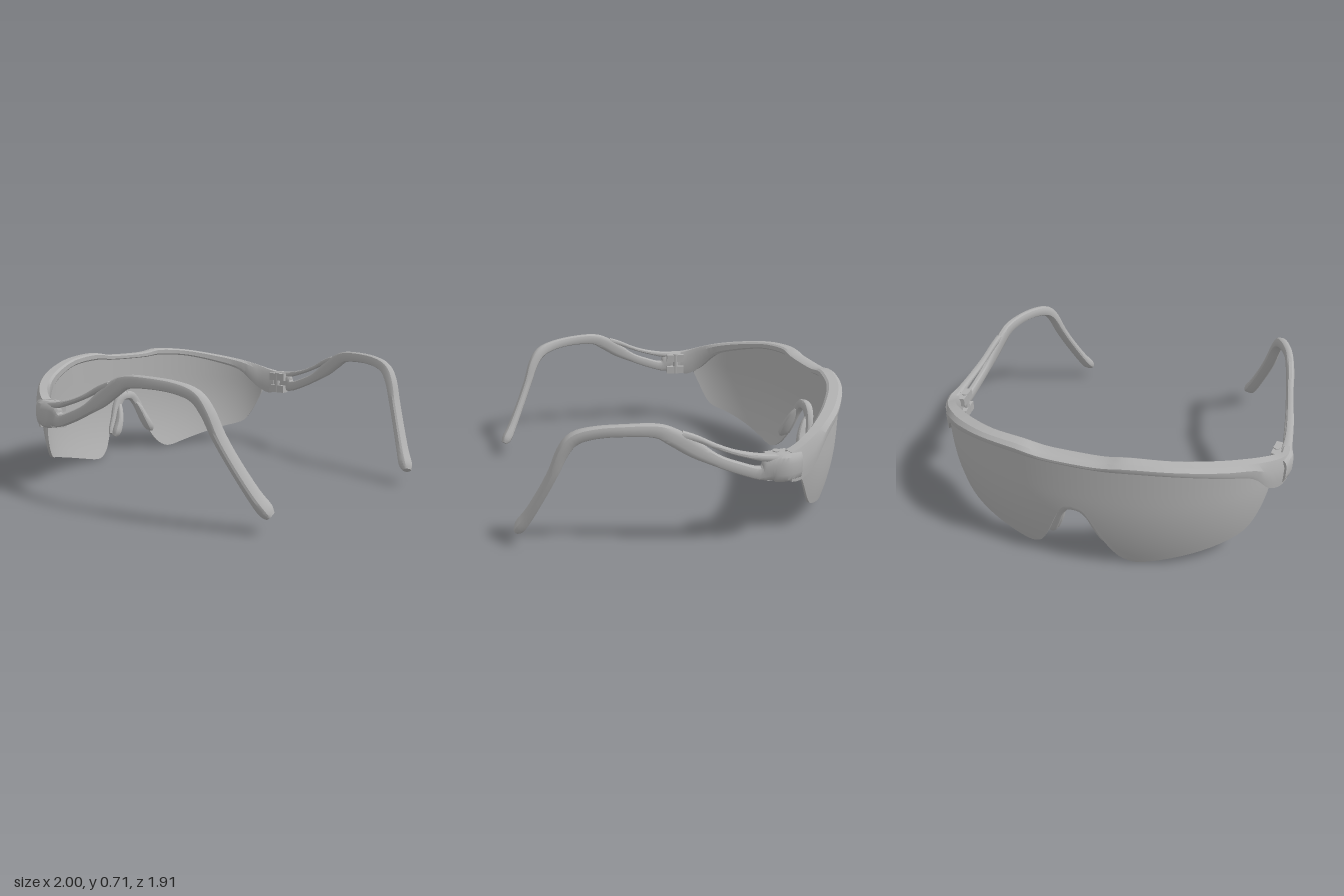
import * as THREE from 'three';
import { toCreasedNormals } from 'three/addons/utils/BufferGeometryUtils.js';

const grey = new THREE.MeshStandardMaterial({ color: 0xb0b0b0 });
grey.name = 'plain grey';

// Smoothly interpolate rows of numbers, giving n steps between neighbours
function sample(rows, n) {
  const out = [];
  for (let i = 0; i < rows.length - 1; i++) {
    const a = rows[Math.max(i - 1, 0)], b = rows[i], c = rows[i + 1], d = rows[Math.min(i + 2, rows.length - 1)];
    for (let s = 0; s < n; s++) {
      const t = s / n;
      out.push(b.map((v, k) => {
        const m0 = (c[k] - a[k]) / 2, m1 = (d[k] - v) / 2;
        return (2 * t ** 3 - 3 * t * t + 1) * v + (t ** 3 - 2 * t * t + t) * m0
          + (3 * t * t - 2 * t ** 3) * c[k] + (t ** 3 - t * t) * m1;
      }));
    }
  }
  out.push(rows[rows.length - 1]);
  return out;
}

// Closed solid through a list of cross-section rings, always facing outward
function loft(rings, crease = 0.6) {
  const m = rings[0].length, pts = rings.flat(), tris = [];
  for (let i = 0; i < rings.length - 1; i++) {
    for (let j = 0; j < m; j++) {
      const k = (j + 1) % m, a = i * m + j, b = i * m + k, c = a + m, d = b + m;
      tris.push([a, b, d], [a, d, c]);
    }
  }
  const last = (rings.length - 1) * m;
  [[0, 1], [last, -1]].forEach(([base, dir]) => {
    const mid = new THREE.Vector3();
    for (let j = 0; j < m; j++) mid.addScaledVector(pts[base + j], 1 / m);
    pts.push(mid);
    for (let j = 0; j < m; j++) {
      const a = base + j, b = base + (j + 1) % m;
      tris.push(dir > 0 ? [pts.length - 1, b, a] : [pts.length - 1, a, b]);
    }
  });
  const cross = new THREE.Vector3();
  const volume = tris.reduce((s, [a, b, c]) => s + cross.crossVectors(pts[b], pts[c]).dot(pts[a]), 0);
  if (volume < 0) tris.forEach(t => t.reverse());
  const g = new THREE.BufferGeometry().setFromPoints(pts);
  g.setIndex(tris.flat());
  return toCreasedNormals(g, crease);
}

// Bar with rounded-rectangle sections; rows are [x, y, z, width, height]
function bar(rows, side = 1, steps = 4, sides = 12) {
  const r = sample(rows, steps);
  const centre = r.map(p => new THREE.Vector3(p[0] * side, p[1], p[2]));
  return loft(r.map((p, i) => {
    const T = centre[Math.min(i + 1, r.length - 1)].clone().sub(centre[Math.max(i - 1, 0)]).normalize();
    const X = new THREE.Vector3(1, 0, 0).addScaledVector(T, -T.x).normalize();
    const U = new THREE.Vector3().crossVectors(X, T);
    const ring = [];
    for (let j = 0; j < sides; j++) {
      const a = (j + 0.5) / sides * Math.PI * 2, c = Math.cos(a), s = Math.sin(a);
      ring.push(centre[i].clone()
        .addScaledVector(X, Math.sign(c) * Math.abs(c) ** 0.7 * p[3] / 2)
        .addScaledVector(U, Math.sign(s) * Math.abs(s) ** 0.7 * p[4] / 2));
    }
    return ring;
  }));
}

// Mirror half-rows (first row on the centre line); listed columns change sign
function mirrorRows(rows, cols) {
  return [...rows.slice(1).reverse().map(r => r.map((v, k) => cols.includes(k) ? -v : v)), ...rows];
}

// Point on the curved lens, pushed inward by depth and bent in toward the bottom
function lensPoint(x, y, depth) {
  const a = 0.915, b = 0.57, cz = -0.38;
  const z = cz - b * Math.sqrt(Math.max(0, 1 - (x / a) ** 2));
  const n = new THREE.Vector3(x / a ** 2, 0, (z - cz) / b ** 2).normalize();
  const bend = 0.4 * Math.max(0, 0.45 - y) ** 2;
  return new THREE.Vector3(x, y, z).addScaledVector(n, -(depth + bend));
}

function lensGeometry() {
  // [x, top, bottom]
  const half = [[0, 0.65, 0.39], [0.05, 0.65, 0.375], [0.09, 0.65, 0.31], [0.14, 0.655, 0.2], [0.18, 0.66, 0.12],
    [0.23, 0.665, 0.045], [0.29, 0.67, 0.006], [0.35, 0.67, 0.002], [0.45, 0.665, 0.025], [0.6, 0.635, 0.065],
    [0.74, 0.59, 0.105], [0.84, 0.54, 0.14], [0.875, 0.5, 0.2], [0.895, 0.46, 0.29], [0.906, 0.42, 0.37]];
  const rows = 12;
  return loft(sample(mirrorRows(half, [0]), 3).map(([x, top, bottom]) => {
    const outer = [], inner = [];
    for (let i = 0; i <= rows; i++) {
      const y = bottom + (top - bottom) * i / rows;
      outer.push(lensPoint(x, y, 0));
      inner.unshift(lensPoint(x, y, 0.014));
    }
    return [...outer, ...inner];
  }));
}

function browGeometry() {
  // [outer x, outer z, inner x, inner z, top, bottom]
  const half = [[0, -0.955, 0, -0.86, 0.67, 0.64], [0.15, -0.953, 0.15, -0.86, 0.674, 0.642],
    [0.28, -0.943, 0.27, -0.855, 0.692, 0.65], [0.5, -0.878, 0.47, -0.8, 0.675, 0.633],
    [0.7, -0.757, 0.66, -0.68, 0.635, 0.58], [0.83, -0.635, 0.785, -0.57, 0.598, 0.52],
    [0.905, -0.54, 0.86, -0.48, 0.565, 0.41], [0.955, -0.45, 0.895, -0.41, 0.535, 0.365],
    [0.985, -0.38, 0.91, -0.36, 0.52, 0.37]];
  return loft(sample(mirrorRows(half, [0, 2]), 4).map(([ox, oz, ix, iz, top, bot]) => {
    const at = (t, v) => new THREE.Vector3(ox + (ix - ox) * t, bot + (top - bot) * v, oz + (iz - oz) * t);
    return [at(0.05, 0), at(0, 0.25), at(0, 0.65), at(0.25, 1), at(0.85, 1), at(1, 0.8), at(1, 0.2), at(0.9, 0)];
  }), 0.5);
}

export function createModel() {
  const model = new THREE.Group();
  model.name = 'wraparoundGlasses';
  const add = (name, geometry, parent = model) => {
    const mesh = new THREE.Mesh(geometry, grey);
    mesh.name = name;
    parent.add(mesh);
    return mesh;
  };

  add('lens', lensGeometry());
  add('browFrame', browGeometry());

  // Nose bridge: an arch hugging the lens cut-out
  const arch = [[0, 0.383, -0.915, 0.06, 0.055], [0.045, 0.373, -0.913, 0.06, 0.055], [0.085, 0.32, -0.905, 0.06, 0.045],
    [0.115, 0.24, -0.89, 0.06, 0.04], [0.145, 0.17, -0.875, 0.06, 0.035], [0.16, 0.14, -0.865, 0.045, 0.025]];

  for (const side of [1, -1]) {
    const label = side > 0 ? 'left' : 'right';

    add(label + 'NoseBridge', bar(arch, side));
    add(label + 'NosePad', bar([[0.07, 0.33, -0.89, 0.02, 0.02], [0.085, 0.29, -0.875, 0.035, 0.05],
      [0.11, 0.22, -0.853, 0.045, 0.065], [0.14, 0.16, -0.84, 0.05, 0.06], [0.16, 0.13, -0.84, 0.025, 0.03]], side));

    // Temple arm: hinge end, lower strand, ear hook and tip
    const temple = new THREE.Group();
    temple.name = label + 'Temple';
    model.add(temple);
    add('arm', bar([[0.945, 0.445, -0.43, 0.06, 0.14], [0.957, 0.445, -0.35, 0.085, 0.15],
      [0.955, 0.445, -0.28, 0.065, 0.14], [0.95, 0.425, -0.22, 0.045, 0.07], [0.94, 0.465, -0.1, 0.04, 0.06],
      [0.93, 0.51, 0, 0.04, 0.06], [0.915, 0.57, 0.1, 0.04, 0.085], [0.9, 0.635, 0.2, 0.045, 0.085],
      [0.885, 0.67, 0.28, 0.045, 0.068], [0.86, 0.675, 0.42, 0.045, 0.06], [0.82, 0.663, 0.55, 0.05, 0.06],
      [0.785, 0.63, 0.645, 0.06, 0.065], [0.762, 0.56, 0.7, 0.068, 0.06], [0.735, 0.45, 0.745, 0.072, 0.05],
      [0.695, 0.33, 0.8, 0.072, 0.048], [0.64, 0.19, 0.87, 0.075, 0.052], [0.605, 0.115, 0.915, 0.08, 0.058],
      [0.59, 0.085, 0.935, 0.055, 0.035]], side), temple);

    // Slim upper strand that leaves a slot above the arm
    add('upperStrand', bar([[0.955, 0.495, -0.32, 0.06, 0.045], [0.955, 0.51, -0.22, 0.045, 0.035],
      [0.945, 0.542, -0.1, 0.04, 0.025], [0.93, 0.58, 0, 0.035, 0.025], [0.915, 0.623, 0.09, 0.035, 0.03],
      [0.905, 0.645, 0.16, 0.035, 0.04]], side), temple);

    // Hinge knuckles and pin on the inner face
    for (const y of [0.4, 0.485]) {
      const knuckle = add('hingeKnuckle', new THREE.BoxGeometry(0.055, 0.05, 0.12), temple);
      knuckle.position.set(0.917 * side, y, -0.32);
      knuckle.rotation.y = side * 0.12;
    }
    const pin = add('hingePin', new THREE.CylinderGeometry(0.018, 0.018, 0.14, 12), temple);
    pin.position.set(0.905 * side, 0.445, -0.32);
  }
  return model;
}
